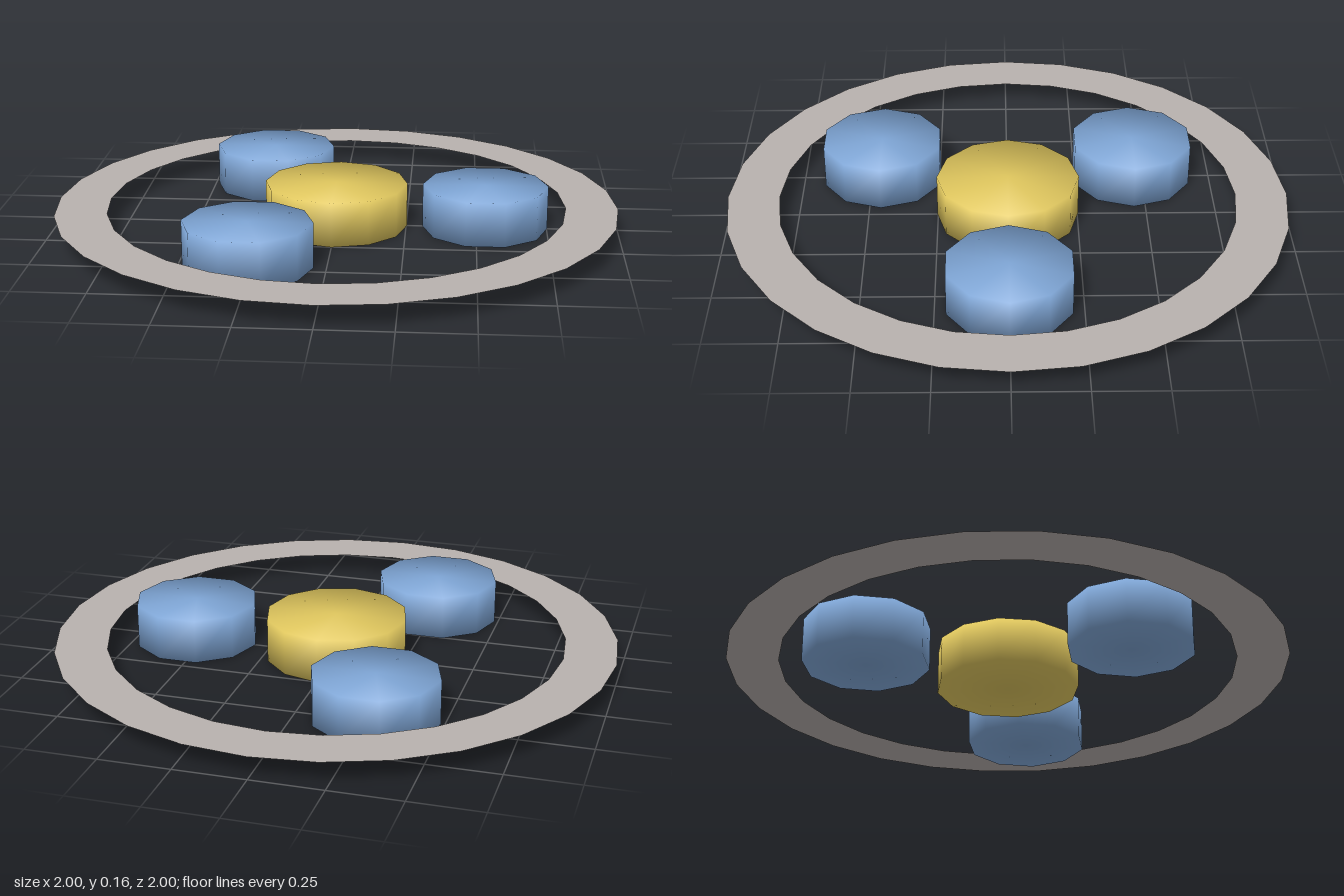
import * as THREE from 'three';
import { mergeVertices } from 'three/addons/utils/BufferGeometryUtils.js';

const HEIGHT = 0.158;

// Closed disc whose rim and caps share smooth normals
function softDisc(radius, sides) {
  const g = new THREE.CylinderGeometry(radius, radius, HEIGHT, sides);
  g.rotateY(Math.PI / 2); // a corner points along +x
  g.deleteAttribute('normal');
  g.deleteAttribute('uv');
  const merged = mergeVertices(g, 1e-4);
  merged.computeVertexNormals();
  return merged;
}

export function createModel() {
  const model = new THREE.Group();
  model.name = 'planetaryGear';

  const gold = new THREE.MeshStandardMaterial({ color: 0xe0c75e });
  gold.name = 'gold';
  const blue = new THREE.MeshStandardMaterial({ color: 0x7fa6d6 });
  blue.name = 'blue';
  const grey = new THREE.MeshStandardMaterial({ color: 0xb8b1ae, side: THREE.DoubleSide });
  grey.name = 'warmGrey';

  const add = (name, geometry, material, x = 0, z = 0) => {
    const mesh = new THREE.Mesh(geometry, material);
    mesh.name = name;
    mesh.position.set(x, HEIGHT / 2, z);
    model.add(mesh);
  };

  // Central disc
  add('sunDisc', softDisc(0.253, 12), gold);

  // Three discs spaced evenly around it, all facing the same way
  const planet = softDisc(0.222, 10);
  for (let i = 0; i < 3; i++) {
    const a = (i * Math.PI * 2) / 3;
    add(`planetDisc${i + 1}`, planet, blue, 0.53 * Math.cos(a), 0.53 * Math.sin(a));
  }

  // Paper-thin outer ring at mid height
  const ring = new THREE.RingGeometry(0.815, 1, 28, 1);
  ring.rotateX(-Math.PI / 2);
  add('outerRing', ring, grey);

  return model;
}
